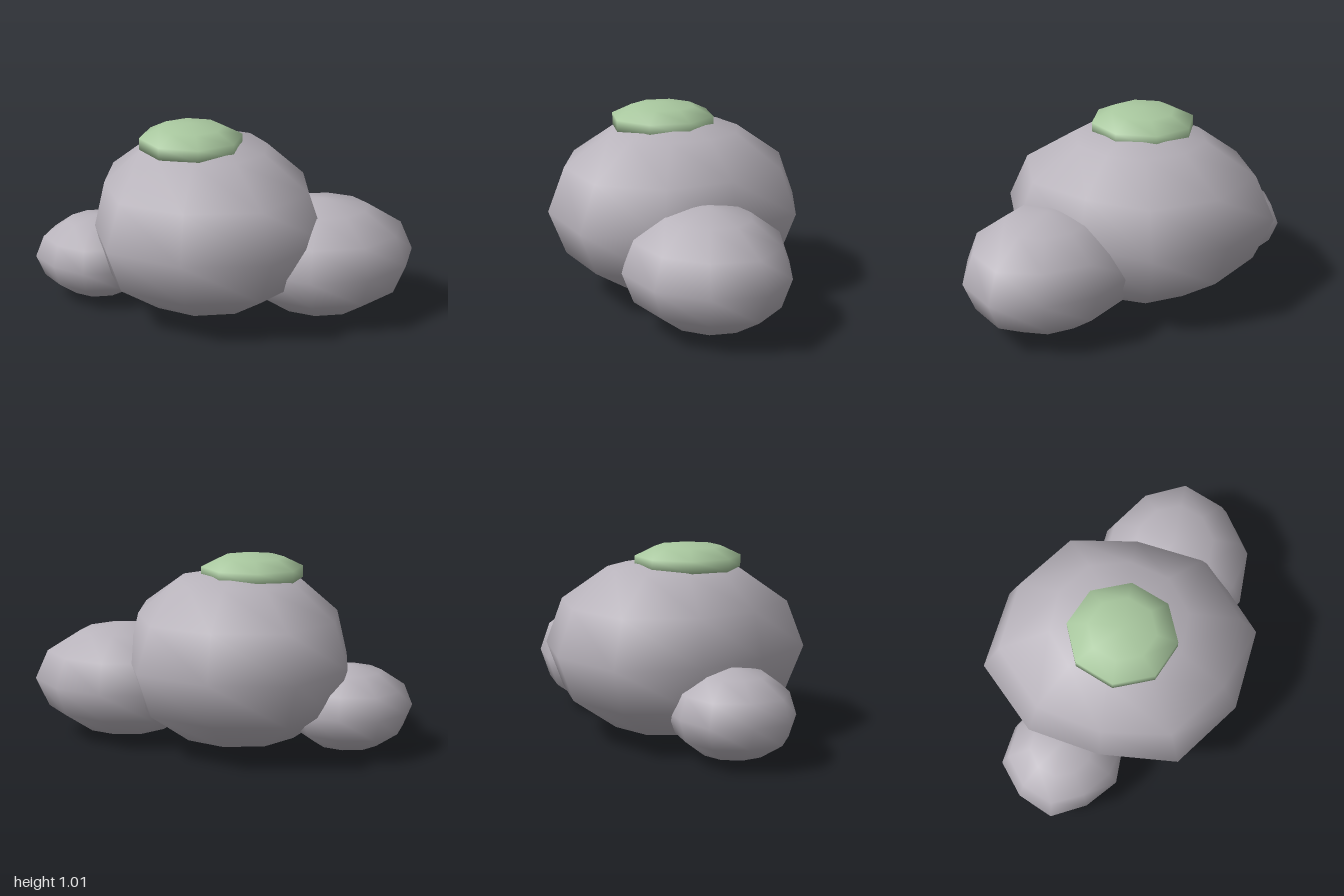
import * as THREE from 'three';
import { mergeVertices } from 'three/addons/utils/BufferGeometryUtils.js';

const stone = new THREE.MeshStandardMaterial({ color: 0xb8b3bb });
stone.name = 'stone grey';
const moss = new THREE.MeshStandardMaterial({ color: 0xa9c89f });
moss.name = 'moss green';

// Coarse smooth ellipsoid; "bulge" scales each side of the girth, from +x towards +z
function lump(name, material, sides, rings, radii, centre, bulge = [1]) {
  let geo = new THREE.SphereGeometry(1, sides, rings);
  geo.deleteAttribute('uv');
  geo.deleteAttribute('normal');
  geo = mergeVertices(geo, 1e-4);
  const pos = geo.attributes.position;
  const v = new THREE.Vector3();
  for (let i = 0; i < pos.count; i++) {
    v.fromBufferAttribute(pos, i);
    const side = Math.round((Math.atan2(v.z, v.x) / (2 * Math.PI)) * sides) + sides;
    const girth = v.x * v.x + v.z * v.z;
    const f = 1 + (bulge[side % bulge.length] - 1) * girth;
    pos.setXYZ(i, v.x * f * radii[0], v.y * radii[1], v.z * f * radii[2]);
  }
  geo.computeVertexNormals();
  const mesh = new THREE.Mesh(geo, material);
  mesh.name = name;
  mesh.position.set(...centre);
  return mesh;
}

export function createModel() {
  const group = new THREE.Group();
  group.name = 'mossyBoulders';
  group.add(
    // Three overlapping boulders
    lump('mainBoulder', stone, 10, 6, [0.69, 0.472, 0.7], [-0.095, 0.477, 0],
      [0.85, 1, 1.06, 0.99, 0.99, 0.85, 0.935, 1.04, 0.97, 0.975]),
    lump('leftBoulder', stone, 10, 6, [0.485, 0.31, 0.43], [0.5, 0.32, 0.19],
      [1.03, 0.99, 1, 1, 0.97, 0.97, 0.98, 1.04, 0.97, 0.95]),
    lump('rightBoulder', stone, 10, 6, [0.345, 0.225, 0.33], [-0.655, 0.24, -0.205],
      [0.95, 0.95, 0.98, 0.98, 0.91, 1, 0.95, 1, 0.91, 0.95]),
    // Flat cushion of moss on the crown
    lump('mossCap', moss, 8, 5, [0.285, 0.1, 0.295], [-0.17, 0.92, 0.03])
  );
  return group;
}
